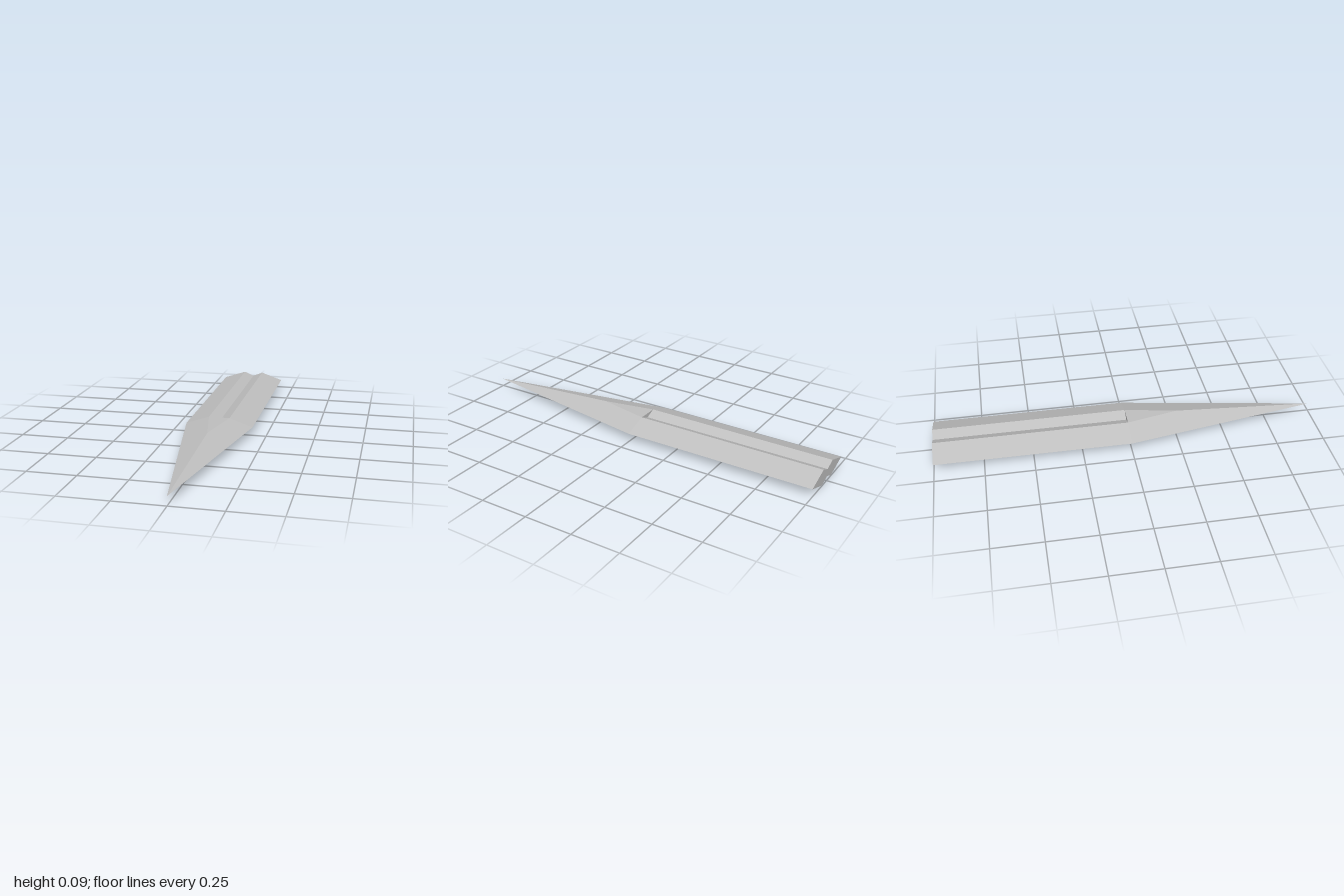
import * as THREE from 'three';

const MID = 0.044; // height of the cutting edges

// Mirrors the faces of one quarter into all four and builds a faceted mesh
function mirroredMesh(name, faces, material) {
  const pos = [];
  for (const sx of [1, -1]) for (const sy of [1, -1]) {
    for (const face of faces) {
      const f = sx * sy > 0 ? face : [...face].reverse();
      for (let i = 1; i < f.length - 1; i++) {
        for (const [x, y, z] of [f[0], f[i], f[i + 1]]) pos.push(sx * x, MID + sy * y, z);
      }
    }
  }
  const geo = new THREE.BufferGeometry();
  geo.setAttribute('position', new THREE.Float32BufferAttribute(pos, 3));
  geo.computeVertexNormals();
  const mesh = new THREE.Mesh(geo, material);
  mesh.name = name;
  return mesh;
}

export function createModel() {
  const steel = new THREE.MeshStandardMaterial({ color: 0xc0c0c0 });
  steel.name = 'steel grey';

  // Cross-section of a quarter: cutting edge, groove rim, groove floor, centre
  const edge = (z) => [0.178, 0, z];
  const rim = (z) => [0.055, 0.042, z];
  const floor = (z) => [0, 0.019, z];
  const back = -1, shoulder = 0;
  const ridge = [0, 0.044, 0.27];
  const rimMiddle = [0, 0.042, shoulder];
  const tip = [0, 0, 1];

  const model = new THREE.Group();
  model.name = 'blade';
  model.add(
    mirroredMesh('bladeBevels', [[edge(back), rim(back), rim(shoulder), edge(shoulder)]], steel),
    // V-shaped groove with its closed front end
    mirroredMesh('grooves', [
      [rim(back), floor(back), floor(shoulder), rim(shoulder)],
      [rim(shoulder), floor(shoulder), rimMiddle],
    ], steel),
    // Pointed front with a small flat ahead of the groove
    mirroredMesh('bladePoint', [
      [rim(shoulder), rimMiddle, ridge],
      [edge(shoulder), rim(shoulder), ridge],
      [edge(shoulder), ridge, tip],
    ], steel),
    mirroredMesh('backEnd', [[[0, 0, back], floor(back), rim(back), edge(back)]], steel),
  );
  return model;
}
